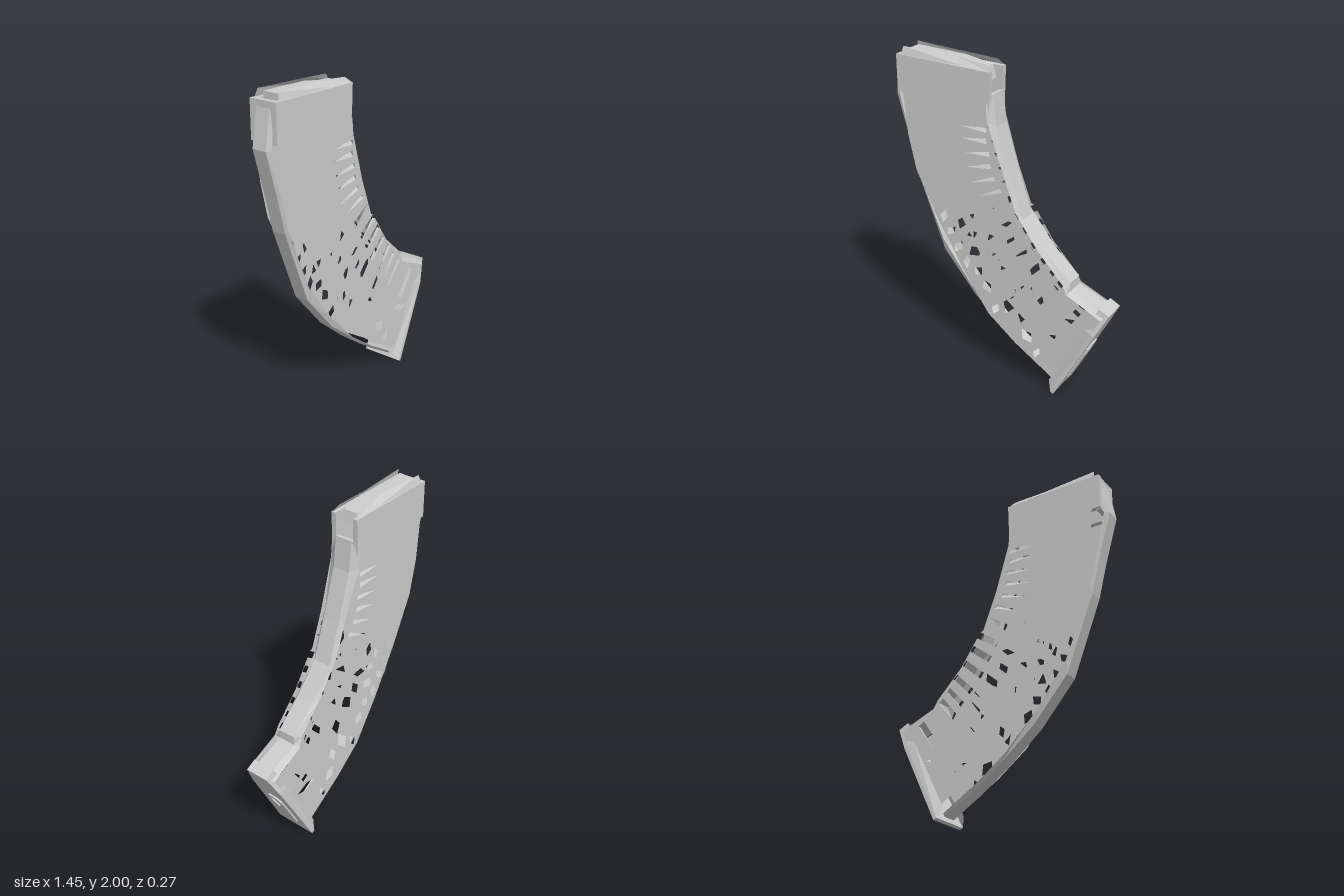
import * as THREE from 'three';

const mat = new THREE.MeshStandardMaterial({ color: 0xcccccc, flatShading: true, side: THREE.DoubleSide });

// Matching stations down the curved body, top to bottom.
const rearEdge = [[-0.65, 1.75], [-0.64, 1.7], [-0.62, 1.48], [-0.57, 1.26], [-0.42, 0.96], [-0.25, 0.67], [-0.07, 0.41], [0.12, 0.26], [0.385, 0.09]];
const spineEdge = [[-0.69, 1.92], [-0.73, 1.7], [-0.65, 1.42], [-0.595, 1.2], [-0.42, 0.74], [-0.2, 0.48], [0.01, 0.3], [0.2, 0.16], [0.39, 0.04]];
const innerEdge = [[-0.08, 1.75], [-0.07, 1.65], [0.015, 1.36], [0.105, 1.12], [0.26, 0.91], [0.42, 0.74], [0.45, 0.69], [0.68, 0.59]];
const frontEdge = [[-0.055, 1.8], [-0.035, 1.62], [0.05, 1.34], [0.14, 1.08], [0.3, 0.9], [0.46, 0.755], [0.46, 0.7], [0.705, 0.61]];
const frontFlange = [0.1, 0.1, 0.078, 0.078, 0.078, 0.078, 0.09, 0.1];
const SIDE = 0.103;

// Slots along the inner curve: x, y, length, width, angle in degrees.
const shutSlots = [
  [-0.16, 1.6, 0.17, 0.03, 4], [-0.16, 1.53, 0.17, 0.035, 7], [-0.14, 1.45, 0.17, 0.03, 11],
  [-0.13, 1.37, 0.17, 0.035, 16], [-0.1, 1.29, 0.17, 0.03, 22], [-0.05, 1.22, 0.16, 0.03, 28],
];
const openSlots = [
  [0.01, 1.14, 0.16, 0.04, 33], [0.07, 1.05, 0.16, 0.04, 35], [0.12, 0.97, 0.16, 0.04, 38],
  [0.17, 0.88, 0.17, 0.04, 41], [0.24, 0.8, 0.17, 0.038, 45], [0.29, 0.725, 0.17, 0.034, 48],
  [0.34, 0.66, 0.18, 0.04, 50], [0.48, 0.53, 0.2, 0.045, 55],
];
// Faceted openings: x, y, length, width, angle in degrees.
const gems = [
  [-0.38, 1.0, 0.1, 0.05, 70], [-0.33, 0.915, 0.09, 0.05, 40], [-0.25, 0.99, 0.1, 0.06, 60],
  [-0.17, 1.06, 0.09, 0.05, 100], [-0.18, 0.93, 0.08, 0.05, 20], [-0.08, 0.94, 0.11, 0.05, 10],
  [-0.28, 0.82, 0.1, 0.05, 50], [-0.16, 0.82, 0.11, 0.07, 30], [-0.22, 0.73, 0.09, 0.05, 80],
  [-0.14, 0.69, 0.08, 0.06, 40], [-0.08, 0.6, 0.09, 0.07, 110], [-0.04, 0.85, 0.1, 0.06, 60],
  [0.04, 0.79, 0.13, 0.08, 50], [0.14, 0.67, 0.14, 0.07, 70], [0.08, 0.52, 0.15, 0.08, 60],
  [0.17, 0.47, 0.11, 0.06, 70], [0.2, 0.335, 0.1, 0.08, 120], [0.27, 0.24, 0.09, 0.04, 60],
  [0.42, 0.38, 0.15, 0.045, 165], [-0.02, 0.46, 0.09, 0.05, 60],
];

const shapeOf = pts => new THREE.Shape(pts.map(p => new THREE.Vector2(p[0], p[1])));

// Point of an opening, with u along its length and v across it.
function spot([x, y, length, width, degrees], u, v) {
  const a = THREE.MathUtils.degToRad(degrees);
  return [
    x + u * length * Math.cos(a) - v * width * Math.sin(a),
    y + u * length * Math.sin(a) + v * width * Math.cos(a)];
}
const hole = (opening, corners) => new THREE.Path(corners.map(([u, v]) => new THREE.Vector2(...spot(opening, u, v))));

// Ribbon of quads between rows of 3D points.
function ribbon(rows) {
  const index = [], n = rows[0].length;
  for (let i = 0; i < rows.length - 1; i++) {
    for (let j = 0; j < n - 1; j++) {
      const a = i * n + j;
      index.push(a, a + 1, a + n, a + 1, a + n + 1, a + n);
    }
  }
  const g = new THREE.BufferGeometry();
  g.setAttribute('position', new THREE.Float32BufferAttribute(rows.flat(2), 3));
  g.setIndex(index);
  g.computeVertexNormals();
  return g;
}

// Narrow channel along an edge; its flanges lean part of the way to the side plates.
const channel = (side, ridge, half, flange, reach) => ribbon(ridge.map(([rx, ry], i) => {
  const x = rx + (side[i][0] - rx) * reach, y = ry + (side[i][1] - ry) * reach;
  const z = flange(i);
  return [[x, y, z], [rx, ry, half], [rx, ry, -half], [x, y, -z]];
}));

export function createModel() {
  const model = new THREE.Group();
  model.name = 'curvedMagazine';
  const add = (name, geometry, parent = model) => {
    const m = new THREE.Mesh(geometry, mat);
    m.name = name;
    parent.add(m);
    return m;
  };
  const slab = (pts, depth) => new THREE.ExtrudeGeometry(shapeOf(pts), { depth, bevelEnabled: false });

  // Pierced side plates
  const plate = shapeOf([...rearEdge, ...innerEdge.slice().reverse()]);
  const box = [[-0.5, -0.5], [0.5, -0.5], [0.5, 0.5], [-0.5, 0.5]];
  const gem = [[-0.5, -0.15], [0.1, -0.5], [0.5, 0.1], [-0.1, 0.5]];
  plate.holes.push(...[...shutSlots, ...openSlots].map(s => hole(s, box)), ...gems.map(s => hole(s, gem)));
  for (const s of [1, -1]) {
    add(s > 0 ? 'frontSidePlate' : 'backSidePlate', new THREE.ShapeGeometry(plate)).position.z = s * SIDE;
    // Slots are shut by a sloping floor near the mouth and only lipped lower down
    const ledge = (slot, v, depth) => add('slotLedge', ribbon([
      [[...spot(slot, -0.5, -0.5), s * SIDE], [...spot(slot, -0.5, v), s * SIDE]],
      [[...spot(slot, 0.5, -0.5), s * SIDE], [...spot(slot, 0.5, v), s * depth]],
    ]));
    shutSlots.forEach(slot => ledge(slot, 0.3, 0.085));
    openSlots.forEach(slot => ledge(slot, -0.5, 0.082));
  }

  // Outer spine and inner wall, set apart from the plates along the middle
  add('outerSpine', channel(rearEdge, spineEdge, 0.045, () => 0.06, 0.35));
  add('innerWall', channel(innerEdge, frontEdge, 0.055, i => frontFlange[i], 1));

  // Collar at the mouth, open at the front centre
  const collar = new THREE.Group();
  collar.name = 'collar';
  model.add(collar);
  const cheek = [[-0.69, 1.955], [-0.69, 1.73], [-0.3, 1.73], [-0.07, 1.66], [-0.06, 1.94]];
  for (const s of [1, -1]) {
    add('collarCheek', slab(cheek, 0.03), collar).position.z = s > 0 ? 0.06 : -0.09;
    // Feed lip leaning inwards
    add('feedLip', ribbon([
      [[-0.66, 1.95, s * 0.085], [-0.65, 2.0, s * 0.07]],
      [[-0.25, 1.95, s * 0.085], [-0.3, 1.99, s * 0.05]],
      [[-0.06, 1.94, s * 0.085], [-0.1, 1.975, s * 0.065]],
    ]), collar);
  }
  add('collarRear', new THREE.BoxGeometry(0.03, 0.23, 0.15), collar).position.set(-0.672, 1.84, 0);
  add('collarFront', new THREE.BoxGeometry(0.025, 0.12, 0.15), collar).position.set(-0.075, 1.74, 0);

  // Follower inside the mouth
  add('follower', slab([[-0.63, 1.9], [-0.63, 1.985], [-0.3, 1.975], [-0.12, 1.945], [-0.1, 1.87]], 0.1)).position.z = -0.05;

  // Floor plate, drawn lying along the slanted lower end
  const floor = new THREE.Group();
  floor.name = 'floorPlate';
  const a = Math.atan2(0.6, 0.31), c = Math.cos(a), s = Math.sin(a);
  floor.applyMatrix4(new THREE.Matrix4().makeBasis(
    new THREE.Vector3(c, s, 0), new THREE.Vector3(0, 0, 1), new THREE.Vector3(s, -c, 0)).setPosition(0.385, 0.014, 0));
  model.add(floor);
  const mirrored = half => [...half, ...half.slice().reverse().map(([u, v]) => [u, -v])];
  const rim = [[0, 0.133], [0.53, 0.112], [0.69, 0.075]];
  // Flared sleeve from the side plates down to the floor panel
  add('floorSleeve', ribbon(mirrored(rim).map(([u, v]) => [
    [u, v, 0], [Math.max(u, 0.04), THREE.MathUtils.clamp(v, -SIDE, SIDE), -0.05]])), floor);
  add('floorPanel', slab(mirrored(rim), 0.022), floor);
  // Raised latch frame with a tapered window
  const latch = shapeOf(mirrored([[0.07, 0.04], [0.13, 0.07], [0.38, 0.06], [0.42, 0.03]]));
  latch.holes.push(new THREE.Path(mirrored([[0.29, 0.008], [0.34, 0.03], [0.39, 0.03]]).map(p => new THREE.Vector2(...p))));
  add('floorLatch', new THREE.ExtrudeGeometry(latch, { depth: 0.01, bevelEnabled: false }), floor).position.z = 0.022;
  return model;
}
